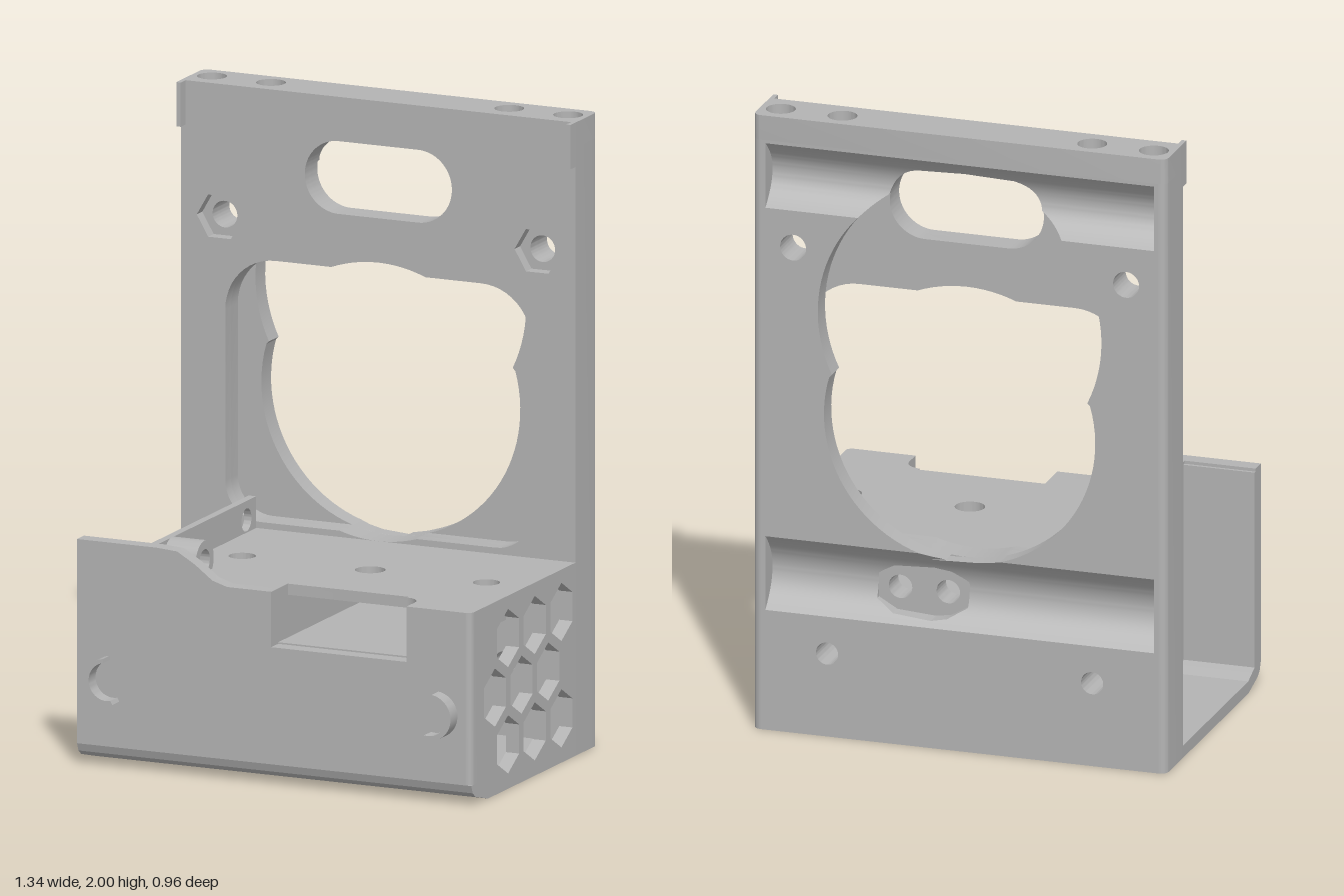
import * as THREE from 'three';
import { toCreasedNormals } from 'three/addons/utils/BufferGeometryUtils.js';

const V = (x, y) => new THREE.Vector2(x, y);
const poly = (pts) => new THREE.Shape(pts.map(([x, y]) => V(x, y)));
const rect = (x0, y0, x1, y1) => poly([[x0, y0], [x1, y0], [x1, y1], [x0, y1]]);
const disc = (x, y, rx, ry = rx) => new THREE.Shape().absellipse(x, y, rx, ry, 0, Math.PI * 2, false, 0);
const hex = (x, y, r, turn) => poly([0, 1, 2, 3, 4, 5].map((i) => {
  const a = turn + i * Math.PI / 3;
  return [x + r * Math.cos(a), y + r * Math.sin(a)];
}));
// points of an arc, angles in radians
const arc = (cx, cy, r, a0, a1, n = 16) => Array.from({ length: n + 1 }, (_, i) => {
  const a = a0 + (a1 - a0) * i / n;
  return [cx + r * Math.cos(a), cy + r * Math.sin(a)];
});
// closes a right-hand half contour (bottom to top) with its mirror
const mirrored = (half) => poly([...half, ...half.map(([x, y]) => [-x, y]).reverse()]);

export function createModel() {
  const group = new THREE.Group();
  const grey = new THREE.MeshStandardMaterial({ color: 0xb3b3b3, side: THREE.DoubleSide });
  grey.name = 'grey plastic';

  const add = (name, geo) => {
    const mesh = new THREE.Mesh(geo, grey);
    mesh.name = name;
    group.add(mesh);
    return mesh;
  };
  const extrude = (shape, depth, holes) => {
    shape.holes.push(...holes);
    const g = new THREE.ExtrudeGeometry(shape, { depth, bevelEnabled: false, curveSegments: 28 });
    return toCreasedNormals(g, 0.5);
  };
  // slabs: XY outline along z, ZY outline along x, XZ outline along y
  const alongZ = (name, shape, z0, z1, holes = []) => add(name, extrude(shape, z1 - z0, holes).translate(0, 0, z0));
  const alongX = (name, shape, x0, x1, holes = []) => add(name, extrude(shape, x1 - x0, holes).rotateY(-Math.PI / 2).translate(x1, 0, 0));
  const alongY = (name, shape, y0, y1, holes = []) => add(name, extrude(shape, y1 - y0, holes).rotateX(Math.PI / 2).translate(0, y1, 0));
  const box = (name, x0, x1, y0, y1, z0, z1) => alongZ(name, rect(x0, y0, x1, y1), z0, z1);

  // ---- back plate ----
  const W = 0.67, back = -0.48, mid = -0.41, front = -0.32;
  const r1 = 0.44, c1 = 1.05, r2 = 0.46, c2 = 1.38;
  const at = (cy, r, x, y) => Math.atan2(y - cy, x);
  const chord = (cy, r, y) => Math.sqrt(Math.max(0, r * r - (y - cy) ** 2));
  const slot = () => {
    const s = new THREE.Shape();
    s.absarc(0.135, 1.745, 0.115, -Math.PI / 2, Math.PI / 2, false);
    s.absarc(-0.135, 1.745, 0.115, Math.PI / 2, Math.PI * 1.5, false);
    return s;
  };
  const lowerBolts = () => [-0.43, 0.43].map((x) => disc(x, 0.27, 0.036));
  const upperBolts = () => [-0.54, 0.54].map((x) => disc(x, 1.58, 0.042));
  const portBolts = () => [0.06, 0.215].map((x) => disc(x, 0.49, 0.038));

  // two stacked round openings joined with both cable channels
  const backOpening = mirrored([
    [0.63, 0.39], [0.63, 0.63],
    ...arc(0, c1, r1, at(c1, r1, chord(c1, r1, 0.63), 0.63), at(c1, r1, 0.422, 1.17), 24),
    ...arc(0, c2, r2, at(c2, r2, chord(c2, r2, 1.18), 1.18), at(c2, r2, chord(c2, r2, 1.7), 1.7), 20),
    [0.63, 1.7], [0.63, 1.91],
  ]);
  // rounded rectangular pocket joined with the lower round opening
  const pocket = () => mirrored([
    ...arc(0, c1, r1, -Math.PI / 2 + 0.01, at(c1, r1, chord(c1, r1, 0.63), 0.63), 6),
    ...arc(0.4, 0.75, 0.12, -Math.PI / 2, 0, 10),
    ...arc(0.35, 1.29, 0.17, 0, Math.PI / 2, 12),
    ...arc(0, c1, r1, at(c1, r1, chord(c1, r1, 1.46), 1.46), Math.PI / 2 - 0.01, 6),
  ]);
  const panel = () => rect(-0.645, 0, 0.645, 1.92);
  alongZ('plateBack', panel(), back, mid, [backOpening, ...lowerBolts(), ...upperBolts()]);
  alongZ('plateMiddle', panel(), mid, -0.36, [pocket(), slot(), ...lowerBolts(), ...upperBolts(), ...portBolts()]);
  alongZ('plateFront', panel(), -0.36, front, [pocket(), slot(), ...lowerBolts(), ...portBolts(),
    ...[-0.54, 0.54].map((x) => hex(x, 1.58, 0.077, 0))]);

  // rounded side edges, top bar with bores, small corner lips
  for (const s of [-1, 1]) {
    const edge = [[0.645, front], [0.67, front], ...arc(0.645, back + 0.025, 0.025, 0, -Math.PI / 2, 8)];
    alongY('plateEdge', poly(edge.map(([x, z]) => [s * x, z])), 0, 1.92);
    box('cornerLip', s > 0 ? 0.655 : -W, s > 0 ? W : -0.655, 1.86, 2, front, -0.285);
  }
  const bar = poly([[-W, front], ...arc(-0.645, back + 0.025, 0.025, Math.PI, Math.PI * 1.5, 8),
    ...arc(0.645, back + 0.025, 0.025, -Math.PI / 2, 0, 8), [W, front]]);
  alongY('topBar', bar, 1.92, 2, [-0.605, -0.405, 0.405, 0.605].map((x) => disc(x, -0.405, 0.046)));

  // curved channel floor; gap(y) gives the inner ends of its two halves
  const channel = (name, y0, y1, gap) => {
    const n = 28;
    for (const side of [0, 1]) {
      const pos = [], idx = [];
      for (let i = 0; i <= n; i++) {
        const t = 2 * i / n - 1, y = y0 + (y1 - y0) * i / n;
        const z = back + 0.069 * (1 - t * t), inner = gap(y)[side];
        const outer = side ? 0.63 : -0.63;
        pos.push(outer, y, z, inner, y, z, inner, y, mid);
        if (i < n) for (const k of [0, 1]) {
          const a = i * 3 + k, b = a + 1, c = a + 3, d = a + 4;
          if (side) idx.push(a, b, c, b, d, c); else idx.push(a, c, b, b, c, d);
        }
      }
      const g = new THREE.BufferGeometry();
      g.setAttribute('position', new THREE.Float32BufferAttribute(pos, 3));
      g.setIndex(idx);
      add(name, toCreasedNormals(g, 0.5));
    }
  };
  channel('upperChannel', 1.7, 1.91, (y) => {
    const w = Math.max(chord(c2, r2, y), y < 1.86 ? 0.135 + chord(1.745, 0.115, y) : 0);
    return [-w, w];
  });
  channel('lowerChannel', 0.39, 0.63, (y) => {
    if (y > 0.61) return [-chord(c1, r1, y), chord(c1, r1, y)];
    const h = Math.max(0, Math.min(0.07, (0.08 - Math.abs(y - 0.49)) * 1.73));
    return h > 0 ? [0.06 - h, 0.215 + h] : [0.1, 0.1];
  });

  // ---- base housing ----
  const inFan = -0.415, outFan = -0.44, faceZ = 0.43;
  alongY('floor', rect(-W, front, W, 0.31), 0, 0.04, [rect(-0.11, -0.28, 0.28, 0.27)]);
  alongX('frontSill', poly([[0.31, 0], [0.4, 0.025], [0.42, 0.04], [faceZ, 0.065], [0.37, 0.065], [0.31, 0.04]]), -W, W);

  // front wall with raised fan corner and port notch
  alongZ('frontWall', poly([[-W, 0.065], [0.65, 0.065], [0.65, 0.61], [0.45, 0.61], [0.45, 0.435], [-0.01, 0.435],
    [-0.01, 0.61], [-0.16, 0.61], [-0.21, 0.625], [-0.27, 0.67], [-0.33, 0.705], [-0.4, 0.71], [-W, 0.71]]), 0.38, faceZ);
  box('frontWallLiner', -W, outFan, 0.04, 0.7, 0.37, 0.38);
  alongY('frontCorner', poly([[0.65, 0.38], [W, 0.38], ...arc(0.65, 0.41, 0.02, 0, Math.PI / 2, 6)]), 0.065, 0.61);

  // top deck, notched at the port
  alongY('deck', poly([[inFan, front], [W, front], [W, 0.38], [0.45, 0.38], ...arc(0.4, 0.37, 0.05, 0, -Math.PI / 2, 8),
    [0.4, 0.31], [-0.01, 0.31], [-0.01, 0.38], [inFan, 0.38]]), 0.575, 0.61,
  [disc(-0.295, 0.035, 0.042), disc(0.14, 0.035, 0.047), disc(0.535, 0.035, 0.042)]);

  // vent wall with hexagon grid
  const vents = [];
  [[0.165, 0.14], [0.26, 0.308], [0.165, 0.476]].forEach(([z, y]) => {
    for (let i = 0; i < 3; i++) vents.push(hex(z - i * 0.192, y, 0.092, Math.PI / 2));
  });
  alongX('ventWall', poly([[front, 0], [0.31, 0], [0.38, 0.02], [0.38, 0.61], [front, 0.61]]), 0.625, W, vents);

  // fan wall, its opening, screw holes and nut boss
  const screws = [[0.29, 0.65], [-0.25, 0.65], [-0.25, 0.11]];
  alongX('fanWall', rect(front, 0.03, 0.38, 0.71), outFan, inFan,
    [disc(0.02, 0.33, 0.285, 0.283), ...screws.map(([z, y]) => disc(z, y, 0.036))]);
  alongX('nutBoss', disc(0.285, 0.645, 0.066), inFan, -0.305, [disc(0.285, 0.645, 0.038)]);

  // port tunnel behind the notch
  box('portShelf', -0.01, 0.45, 0.415, 0.44, front, 0.38);
  box('portSide', 0.45, 0.465, 0.44, 0.58, front, 0.38);
  box('portSide', -0.025, -0.01, 0.44, 0.58, front, 0.38);

  // raised crescent hooks on the front
  for (const s of [-1, 1]) {
    const hook = [...arc(0.55, 0.28, 0.073, -1.9, 1.45, 24), ...arc(0.547, 0.281, 0.06, 1.4, -1.8, 24)];
    alongZ('hook', poly(hook.map(([x, y]) => [s * x, y])), faceZ, 0.48);
  }
  return group;
}
